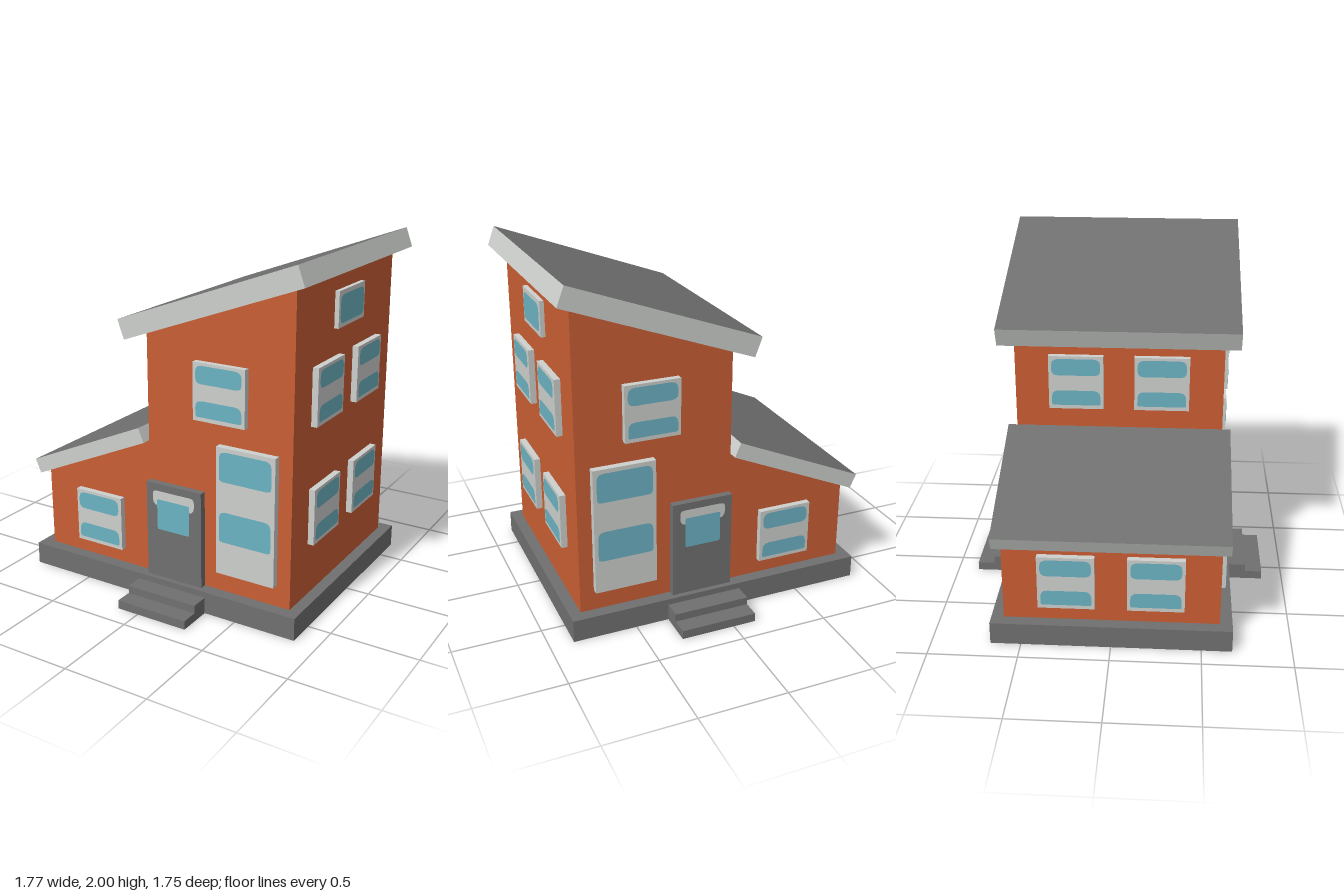
import * as THREE from 'three';

const mat = (name, color) => {
  const m = new THREE.MeshStandardMaterial({ color, side: THREE.DoubleSide });
  m.name = name;
  return m;
};

// Box with some of its faces left out (0 +x, 1 -x, 2 +y, 3 -y, 4 +z, 5 -z)
function openBox(w, h, d, missing) {
  const g = new THREE.BoxGeometry(w, h, d);
  const index = Array.from(g.index.array).filter((_, i) => !missing.includes(Math.floor(i / 6)));
  g.setIndex(index);
  g.clearGroups();
  return g;
}

// Flat rectangle centred on the origin, with separate top and bottom corner radii
function paneShape(w, h, rTop, rBottom) {
  const x = w / 2, y = h / 2, s = new THREE.Shape();
  s.moveTo(-x + rBottom, -y);
  s.lineTo(x - rBottom, -y);
  s.quadraticCurveTo(x, -y, x, -y + rBottom);
  s.lineTo(x, y - rTop);
  s.quadraticCurveTo(x, y, x - rTop, y);
  s.lineTo(-x + rTop, y);
  s.quadraticCurveTo(-x, y, -x, y - rTop);
  s.lineTo(-x, -y + rBottom);
  s.quadraticCurveTo(-x, -y, -x + rBottom, -y);
  return new THREE.ShapeGeometry(s, 3);
}

export function createModel() {
  const brick = mat('orange wall', 0xca5e34);
  const trim = mat('pale trim', 0xcdd0cd);
  const glass = mat('blue glass', 0x6cb3c3);
  const stone = mat('grey stone', 0x707070);

  const model = new THREE.Group();
  model.name = 'house';
  const add = (parent, name, geometry, material, x = 0, y = 0, z = 0) => {
    const m = new THREE.Mesh(geometry, material);
    m.name = name;
    m.position.set(x, y, z);
    parent.add(m);
    return m;
  };

  // Foundation: hollow skirt with a ledge around the walls
  const BASE = 0.13, L = -0.81, R = 0.8, MID = -0.09, D = 0.6;
  add(model, 'foundationSkirt', openBox(1.745, BASE, 1.34, [2, 3]), stone, -0.0075, BASE / 2);
  const rect = (C, x0, x1, z) => new C([[x0, -z], [x1, -z], [x1, z], [x0, z]].map(p => new THREE.Vector2(...p)));
  const ledge = rect(THREE.Shape, -0.88, 0.865, 0.67);
  ledge.holes.push(rect(THREE.Path, L, R, D));
  add(model, 'foundationLedge', new THREE.ShapeGeometry(ledge).rotateX(-Math.PI / 2), stone, 0, BASE);

  // Entrance steps at front and back
  for (const s of [1, -1]) {
    for (const [h, d] of [[0.095, 0.105], [0.05, 0.205]]) {
      add(model, 'step', openBox(0.44, h, d, [3, s > 0 ? 5 : 4]), stone, 0.09, h / 2, s * (0.67 + d / 2));
    }
  }

  // Walls: stepped front and back, plain sides
  const outline = new THREE.Shape(
    [[L, BASE], [R, BASE], [R, 1.865], [MID, 1.535], [MID, 0.922], [L, 0.604]].map(p => new THREE.Vector2(...p)));
  const front = new THREE.ShapeGeometry(outline);
  add(model, 'frontWall', front, brick, 0, 0, D);
  // Reversed winding for the back so it faces outwards
  const back = front.clone();
  back.setIndex(Array.from(front.index.array).reverse());
  back.attributes.normal.array.forEach((v, i, a) => { a[i] = -v; });
  add(model, 'backWall', back, brick, 0, 0, -D);
  const sideWall = (name, x, y0, y1, dir) =>
    add(model, name, new THREE.PlaneGeometry(2 * D, y1 - y0).rotateY(dir * Math.PI / 2), brick, x, (y0 + y1) / 2, 0);
  sideWall('towerLeftWall', R, BASE, 1.865, 1);
  sideWall('towerRightWall', MID, 0.9, 1.535, -1);
  sideWall('annexRightWall', L, BASE, 0.604, -1);

  // Sloped roofs: grey top and underside, pale edges
  const roofMats = [trim, trim, stone, stone, trim, trim];
  const roof = (name, len, thick, depth, x, y, angle) => {
    add(model, name, new THREE.BoxGeometry(len, thick, depth), roofMats, x, y, 0).rotation.z = angle;
  };
  roof('towerRoof', 1.133, 0.115, 1.37, 0.333, 1.752, 0.354);
  roof('annexRoof', 0.824, 0.088, 1.29, -0.49, 0.793, 0.416);

  // Mount on a wall, local +z pointing outwards
  const mount = (name, x, y, z, turn) => {
    const g = new THREE.Group();
    g.name = name;
    g.position.set(x, y, z);
    g.rotation.y = turn;
    model.add(g);
    return g;
  };
  const INSET = 0.015;
  const panel = (g, name, w, h, depth, material) =>
    add(g, name, openBox(w, h, depth + INSET, [5]), material, 0, 0, (depth - INSET) / 2);

  // Window: panes are [bottom, top, bottom radius] measured from the frame centre
  const windowAt = (x, y, z, turn, w, h, paneW, panes, depth = 0.035) => {
    const g = mount('window', x, y, z, turn);
    panel(g, 'windowFrame', w, h, depth, trim);
    for (const [b, t, r] of panes) {
      add(g, 'windowPane', paneShape(paneW, t - b, 0.04, r), glass, 0, (b + t) / 2, depth + 0.003);
    }
  };
  const twoPanes = [[0.045, 0.145, 0.035], [-0.137, -0.047, 0.012]];
  const sash = (x, y, z, turn) => windowAt(x, y, z, turn, 0.315, 0.32, 0.28, twoPanes);

  // Front and back openings
  for (const s of [1, -1]) {
    const turn = s > 0 ? 0 : Math.PI, z = s * D;
    sash(-0.43, 0.381, z, turn);
    sash(0.378, 1.269, z, turn);
    windowAt(0.543, 0.621, z, turn, 0.355, 0.735, 0.315,
      [[0.175, 0.345, 0.025], [-0.175, 0.002, 0.02]], 0.04);

    const door = mount('door', 0.0925, 0.4125, z, turn);
    panel(door, 'doorPanel', 0.355, 0.565, 0.04, stone);
    add(door, 'doorTrim', paneShape(0.27, 0.09, 0.025, 0.04), trim, 0, 0.197, 0.043);
    add(door, 'doorPane', paneShape(0.21, 0.18, 0.01, 0.012), glass, 0, 0.103, 0.046);
  }

  // Side windows
  const quarter = Math.PI / 2;
  for (const z of [0.246, -0.246]) {
    sash(R, 1.266, z, quarter);
    sash(R, 0.595, z, quarter);
    sash(MID, 1.266, z, -quarter);
    sash(L, 0.381, z, -quarter);
  }
  windowAt(R, 1.679, 0, quarter, 0.325, 0.2, 0.295, [[-0.077, 0.077, 0.035]], 0.025);

  return model;
}
